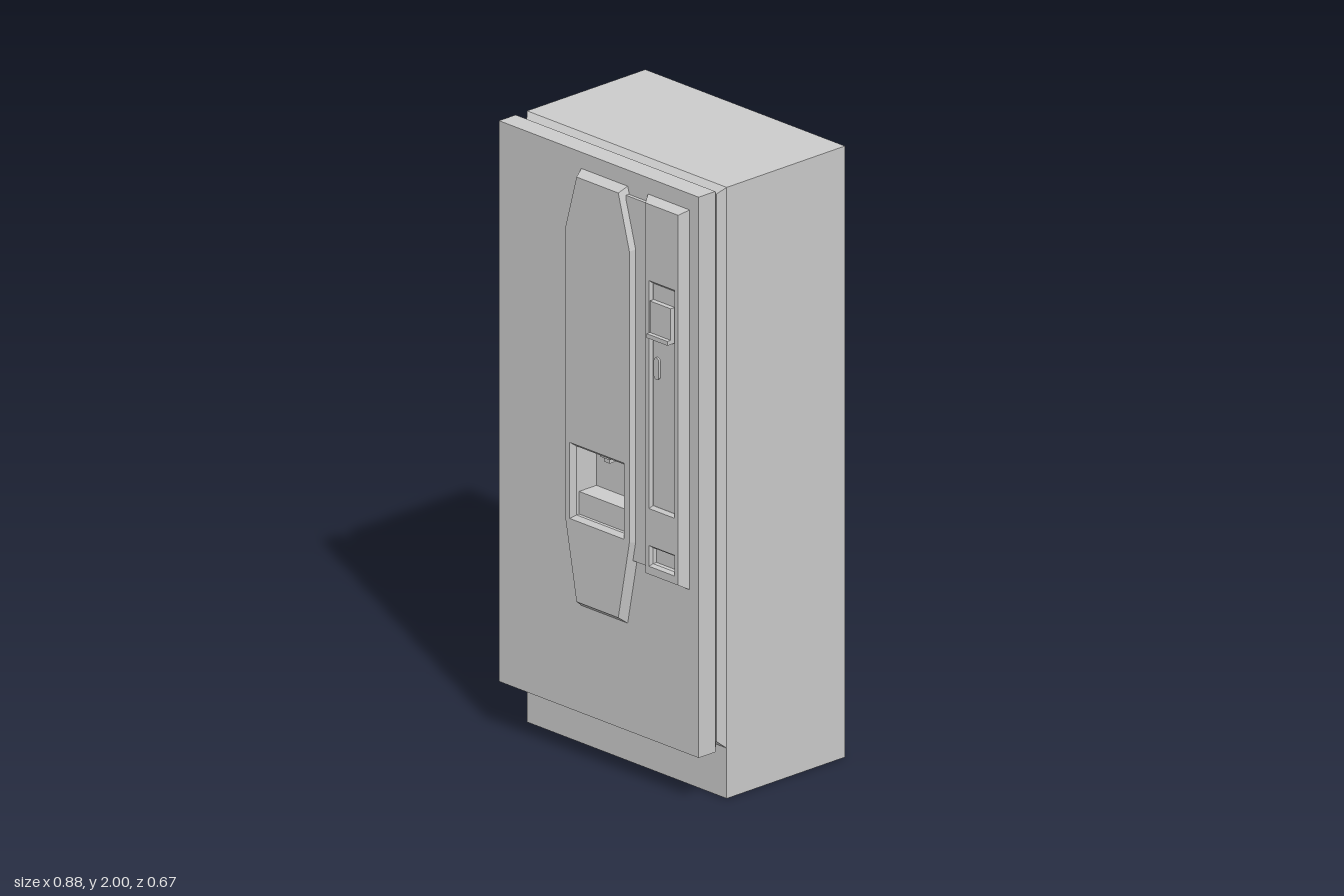
import * as THREE from 'three';

const material = new THREE.MeshStandardMaterial({ color: 0xcccccc, flatShading: true });

// Counter-clockwise rectangle outline, seen from the front
const rect = (x0, x1, y0, y1) => [[x0, y0], [x1, y0], [x1, y1], [x0, y1]];

// Skin between successive outlines [points, z]; faces outward when z rises, inward when it falls
function loft(rings) {
  const pos = [];
  for (let r = 0; r < rings.length - 1; r++) {
    const [a, za] = rings[r], [b, zb] = rings[r + 1];
    for (let i = 0; i < a.length; i++) {
      const j = (i + 1) % a.length;
      const p = [...a[i], za], q = [...a[j], za], s = [...b[j], zb], t = [...b[i], zb];
      pos.push(...p, ...q, ...s, ...p, ...s, ...t);
    }
  }
  const g = new THREE.BufferGeometry();
  g.setAttribute('position', new THREE.Float32BufferAttribute(pos, 3));
  g.computeVertexNormals();
  return g;
}

// Flat front-facing sheet with openings
function sheet(outline, z, holes = []) {
  const vec = (pts) => pts.map(([x, y]) => new THREE.Vector2(x, y));
  const shape = new THREE.Shape(vec(outline));
  for (const h of holes) shape.holes.push(new THREE.Path(vec(h)));
  return new THREE.ShapeGeometry(shape).translate(0, 0, z);
}

function add(parent, name, geometry) {
  const mesh = new THREE.Mesh(geometry, material);
  mesh.name = name;
  parent.add(mesh);
  return mesh;
}

// Box given by its limits
function addBox(parent, name, x0, x1, y0, y1, z0, z1) {
  const mesh = add(parent, name, new THREE.BoxGeometry(x1 - x0, y1 - y0, z1 - z0));
  mesh.position.set((x0 + x1) / 2, (y0 + y1) / 2, (z0 + z1) / 2);
  return mesh;
}

// Raised plate with sloping edges and openings
function addPlate(parent, name, outer, inner, z0, z1, holes) {
  const group = new THREE.Group();
  group.name = name;
  add(group, name + 'Edge', loft([[outer, z0], [inner, z1]]));
  add(group, name + 'Face', sheet(inner, z1, holes));
  parent.add(group);
}

// Recess with a bevelled rim, straight walls and a floor
function addRecess(parent, name, outer, inner, zFront, zRim, zFloor) {
  const group = new THREE.Group();
  group.name = name;
  add(group, name + 'Walls', loft([[outer, zFront], [inner, zRim], [inner, zFloor]]));
  add(group, name + 'Floor', sheet(inner, zFloor));
  parent.add(group);
}

export function createModel() {
  const model = new THREE.Group();
  model.name = 'vendingMachine';
  const doorZ = 0.283, faceZ = 0.313;

  addBox(model, 'cabinet', -0.44, 0.44, 0, 2, -0.333, 0.165);

  // Door joined to the cabinet by a V-shaped groove
  const full = rect(-0.44, 0.44, 0.165, 2);
  const neck = rect(-0.418, 0.418, 0.187, 1.978);
  const bayOuter = rect(-0.097, 0.143, 0.804, 1.053);
  const bayInner = rect(-0.082, 0.13, 0.816, 1.041);
  const door = new THREE.Group();
  door.name = 'door';
  add(door, 'doorEdge', loft([[full, 0.165], [neck, 0.188], [full, 0.213], [full, doorZ]]));
  add(door, 'doorFace', sheet(full, doorZ, [bayInner]));
  model.add(door);

  // Long eight-sided centre panel
  const octagon = (wide, narrow, y0, y1, y2, y3) => {
    const c = 0.025;
    return [[c - narrow, y0], [c + narrow, y0], [c + wide, y1], [c + wide, y2],
      [c + narrow, y3], [c - narrow, y3], [c - wide, y2], [c - wide, y1]];
  };
  addPlate(model, 'centrePanel',
    octagon(0.155, 0.102, 0.517, 0.795, 1.76, 1.947),
    octagon(0.141, 0.092, 0.54, 0.8, 1.752, 1.93), doorZ, faceZ, [bayOuter]);

  // Dispensing bay with shelf and nozzle
  addRecess(model, 'dispensingBay', bayOuter, bayInner, faceZ, 0.299, 0.215);
  addBox(model, 'bayShelf', -0.082, 0.13, 0.816, 0.89, 0.215, 0.288);
  addBox(model, 'nozzleBase', 0.003, 0.045, 1.026, 1.041, 0.235, 0.28);
  addBox(model, 'nozzleTip', 0.012, 0.036, 1.01, 1.026, 0.243, 0.272);

  // Low strip between the two panels
  addBox(model, 'bridgeStrip', 0.132, 0.235, 0.735, 1.922, 0.27, 0.295);

  // Payment panel on the model's left
  const slotOuter = rect(0.252, 0.364, 0.936, 1.682);
  const slotInner = rect(0.26, 0.356, 0.945, 1.673);
  const returnOuter = rect(0.252, 0.364, 0.747, 0.815);
  const returnInner = rect(0.26, 0.356, 0.755, 0.807);
  addPlate(model, 'paymentPanel', rect(0.217, 0.4, 0.704, 1.947), rect(0.236, 0.381, 0.721, 1.932),
    doorZ, faceZ, [slotOuter, returnOuter]);
  addRecess(model, 'paymentRecess', slotOuter, slotInner, faceZ, 0.303, 0.302);
  addRecess(model, 'coinReturn', returnOuter, returnInner, faceZ, 0.303, 0.288);

  // Note reader with a protruding lip
  addBox(model, 'noteReader', 0.262, 0.354, 1.503, 1.62, 0.3, 0.319);
  addBox(model, 'noteReaderLip', 0.262, 0.354, 1.503, 1.517, 0.3, 0.333);

  // Rounded coin slot plate
  const coin = new THREE.Shape();
  coin.absarc(0, 0.025, 0.011, 0, Math.PI);
  coin.absarc(0, -0.025, 0.011, Math.PI, Math.PI * 2);
  const coinSlot = add(model, 'coinSlot',
    new THREE.ExtrudeGeometry(coin, { depth: 0.008, bevelEnabled: false, curveSegments: 6 }));
  coinSlot.position.set(0.28, 1.4, 0.301);

  return model;
}
